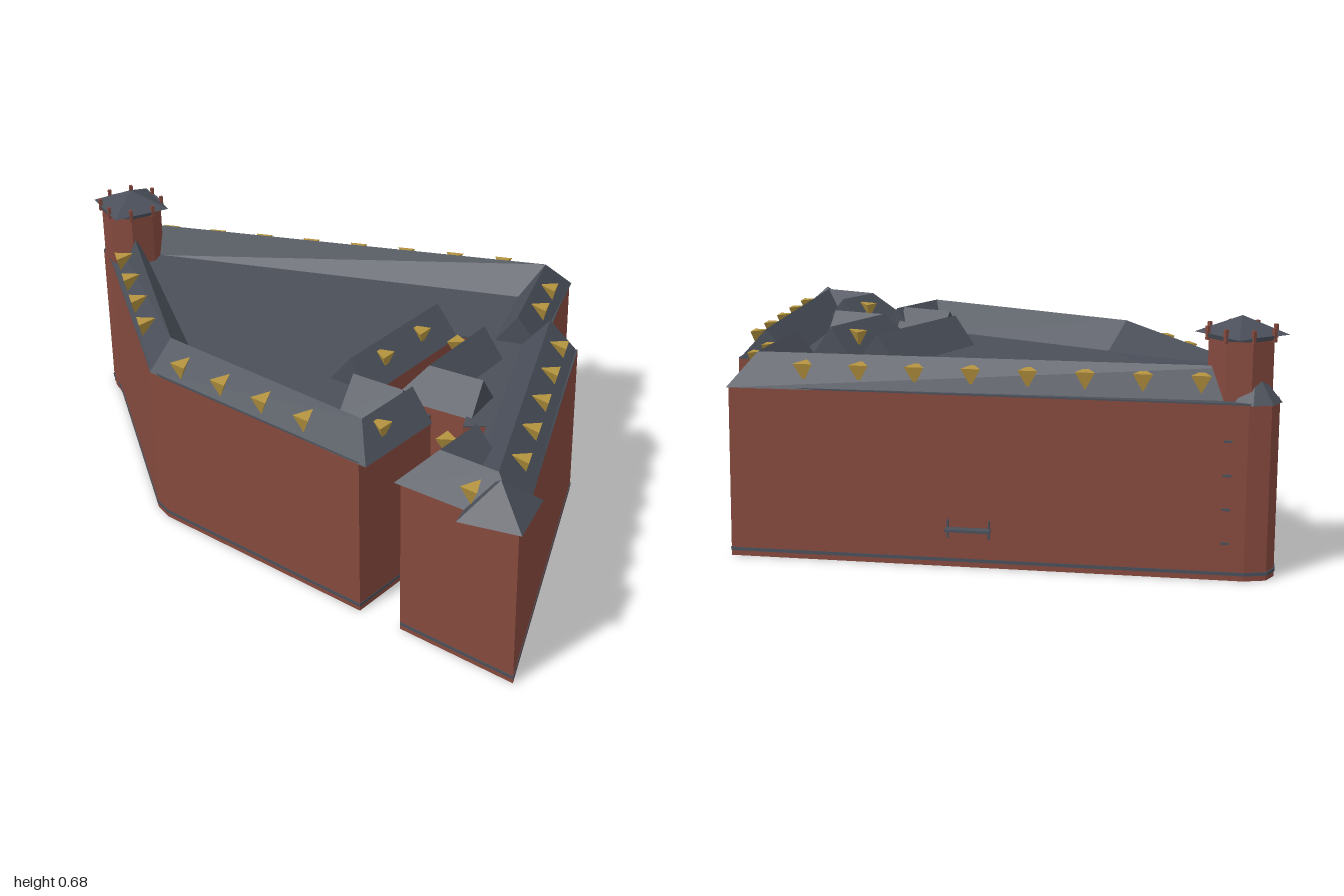
import * as THREE from 'three';

const mat = (name, color, side = THREE.FrontSide) =>
  Object.assign(new THREE.MeshStandardMaterial({ color, flatShading: true, side }), { name });

const EAVE = 0.465, RIDGE = 0.553;

// Building footprint [x, z], including the passage and courtyard cut into it
const OUTLINE = [
  [-0.46, -0.975], [-0.415, -0.995], [-0.36, -0.97], [0.65, -0.045], [0.36, 0.25], [0.44, 0.31],
  [-0.185, 0.985], [-0.325, 0.65], [-0.12, 0.565], [-0.075, 0.61], [0, 0.535], [-0.055, 0.505],
  [-0.02, 0.465], [-0.1, 0.27], [0.19, 0.135], [0.225, 0.185], [0.26, 0.13], [0.18, 0.075],
  [-0.185, 0.235], [-0.1, 0.415], [-0.38, 0.53], [-0.65, -0.13], [-0.655, -0.19], [-0.5, -0.85], [-0.49, -0.94],
];

// Footprint extruded between two heights
function slab(y0, y1, scale = 1) {
  const shape = new THREE.Shape(OUTLINE.map(([x, z]) => new THREE.Vector2(x * scale, z * scale)));
  const geo = new THREE.ExtrudeGeometry(shape, { depth: y1 - y0, bevelEnabled: false });
  return geo.rotateX(Math.PI / 2).translate(0, y1, 0);
}

function triangles(list) {
  const geo = new THREE.BufferGeometry();
  geo.setAttribute('position', new THREE.Float32BufferAttribute(list.flat(2), 3));
  geo.computeVertexNormals();
  return geo;
}

// Gabled roof swept along a ridge polyline with mitred corners
function gableRoof(path, w) {
  const pts = path.map((p) => new THREE.Vector2(...p));
  const sections = pts.map((p, i) => {
    const a = pts[Math.max(i - 1, 0)], b = pts[Math.min(i + 1, pts.length - 1)];
    const d1 = p.clone().sub(a).normalize(), d2 = b.clone().sub(p).normalize();
    const n = d1.clone().add(d2).normalize();
    let mitre = 1 / Math.max(Math.abs(n.dot(i ? d1 : d2)), 0.1);
    if (mitre > 1.85) mitre = 1.1; // blunt the sharpest corner
    const ox = -n.y * w * mitre, oz = n.x * w * mitre;
    return [[p.x + ox, EAVE, p.y + oz], [p.x, RIDGE, p.y], [p.x - ox, EAVE, p.y - oz]];
  });
  const t = [];
  for (let i = 0; i < sections.length - 1; i++) {
    const [l, r, q] = sections[i], [l2, r2, q2] = sections[i + 1];
    t.push([l, l2, r2], [l, r2, r], [r, r2, q2], [r, q2, q]);
  }
  const [s, e] = [sections[0], sections[sections.length - 1]];
  t.push([s[0], s[1], s[2]], [e[2], e[1], e[0]]);
  return triangles(t);
}

// Wedge dormer: upright inverted triangle with a flat top running back into the roof
function dormerGeometry() {
  const tip = [0, -0.027, 0], l = [-0.026, 0.022, 0.012], r = [0.026, 0.022, 0.012], back = [0, 0.026, -0.04];
  return triangles([[tip, r, l], [l, r, back], [tip, l, back], [tip, back, r]]);
}

export function createModel() {
  const model = new THREE.Group();
  const brick = mat('brick red', 0x84493d);
  const slate = mat('slate grey', 0x4a4f59, THREE.DoubleSide);
  const gold = mat('dormer gold', 0xb4933f, THREE.DoubleSide);
  const add = (name, geo, material, parent = model) => {
    const mesh = new THREE.Mesh(geo, material);
    mesh.name = name;
    parent.add(mesh);
    return mesh;
  };

  // Walls, base strip and flat deck
  add('walls', slab(0, EAVE), brick);
  add('baseStrip', slab(0.014, 0.023, 1.003), slate);
  add('deck', slab(EAVE, EAVE + 0.004), slate);

  // Ridge roofs around the perimeter and the courtyard
  const roofs = {
    perimeterRoof: [[[-0.14, 0.385], [-0.335, 0.465], [-0.592, -0.17], [-0.41, -0.92], [0.56, -0.045], [0.31, 0.195]], 0.067],
    southWingRoof: [[[0.38, 0.255], [-0.16, 0.847], [-0.235, 0.69], [-0.09, 0.63]], 0.08],
    courtyardNorthRoof: [[[0.155, 0.012], [-0.215, 0.175]], 0.072],
    courtyardWestRoof: [[[-0.245, 0.25], [-0.17, 0.39]], 0.07],
    islandRoof: [[[0.2, 0.195], [-0.045, 0.31], [0.04, 0.45]], 0.066],
  };
  for (const [name, [path, w]] of Object.entries(roofs)) add(name, gableRoof(path, w), slate);

  // Hipped cap over the south corner
  const cap = add('southCornerCap', new THREE.ConeGeometry(0.12, 0.09, 4), slate);
  cap.position.set(-0.177, EAVE + 0.045, 0.885);
  cap.rotation.y = -0.1;

  // Rows of dormers: first point, last point, count, outward direction
  const dormers = new THREE.Group();
  dormers.name = 'dormers';
  model.add(dormers);
  const wedge = dormerGeometry();
  const rows = [
    [[-0.294, -0.86], [0.49, -0.17], 8, [0.675, -0.737]],
    [[-0.51, -0.75], [-0.611, -0.335], 4, [-0.97, -0.25]],
    [[-0.616, -0.055], [-0.447, 0.352], 4, [-0.92, 0.38]],
    [[0.52, 0.055], [0.43, 0.145], 2, [0.69, 0.72]],
    [[0.355, 0.36], [-0.05, 0.8], 5, [0.734, 0.68]],
    [[-0.1, 0.167], [0.055, 0.098], 2, [0.4, 0.91]],
    [[0.11, 0.19], [0.11, 0.19], 1, [-0.42, -0.9]],
    [[-0.175, 0.615], [-0.175, 0.615], 1, [-0.38, -0.92]],
    [[-0.24, 0.85], [-0.24, 0.85], 1, [-0.92, 0.38]],
    [[-0.285, 0.485], [-0.285, 0.485], 1, [0.38, 0.92]],
  ];
  for (const [a, b, count, n] of rows) {
    for (let i = 0; i < count; i++) {
      const k = count > 1 ? i / (count - 1) : 0;
      const d = add('dormer', wedge, gold, dormers);
      d.position.set(a[0] + (b[0] - a[0]) * k, 0.511, a[1] + (b[1] - a[1]) * k);
      d.rotation.y = Math.atan2(n[0], n[1]);
    }
  }

  // Octagonal tower with pointed roof and small corner posts
  const tower = new THREE.Group();
  tower.name = 'tower';
  tower.position.set(-0.415, 0, -0.872);
  model.add(tower);
  const oct = Math.PI / 8;
  add('towerShaft', new THREE.CylinderGeometry(0.089, 0.089, 0.635, 8).rotateY(oct).translate(0, 0.3175, 0), brick, tower);
  add('towerCornice', new THREE.CylinderGeometry(0.097, 0.092, 0.012, 8).rotateY(oct).translate(0, 0.63, 0), slate, tower);
  add('towerRoof', new THREE.ConeGeometry(0.122, 0.047, 4).rotateY(Math.PI / 4).translate(0, 0.657, 0), slate, tower);
  for (let i = 0; i < 8; i++) {
    const a = oct + (i * Math.PI) / 4;
    const post = add('towerPost', new THREE.BoxGeometry(0.009, 0.036, 0.009), brick, tower);
    post.position.set(Math.sin(a) * 0.092, 0.637, Math.cos(a) * 0.092);
  }

  // Low roof leaning from the north corner up to the tower
  const northCap = add('northCornerCap', new THREE.ConeGeometry(0.07, 0.085, 8), slate);
  northCap.position.set(-0.415, EAVE + 0.042, -0.93);

  // Slit windows and entrance canopy on the north-east wall
  const side = new THREE.Group();
  side.name = 'northEastWallDetails';
  side.position.set(-0.36, 0, -0.97);
  side.rotation.y = -0.742;
  model.add(side);
  for (const y of [0.1, 0.19, 0.28, 0.37])
    add('slitWindow', new THREE.BoxGeometry(0.022, 0.006, 0.008).translate(0.05, y, 0), slate, side);
  add('canopy', new THREE.BoxGeometry(0.12, 0.007, 0.03).translate(0.72, 0.105, -0.015), slate, side);
  for (const x of [0.665, 0.775])
    add('canopyPost', new THREE.BoxGeometry(0.005, 0.05, 0.005).translate(x, 0.105, -0.005), slate, side);

  return model;
}
